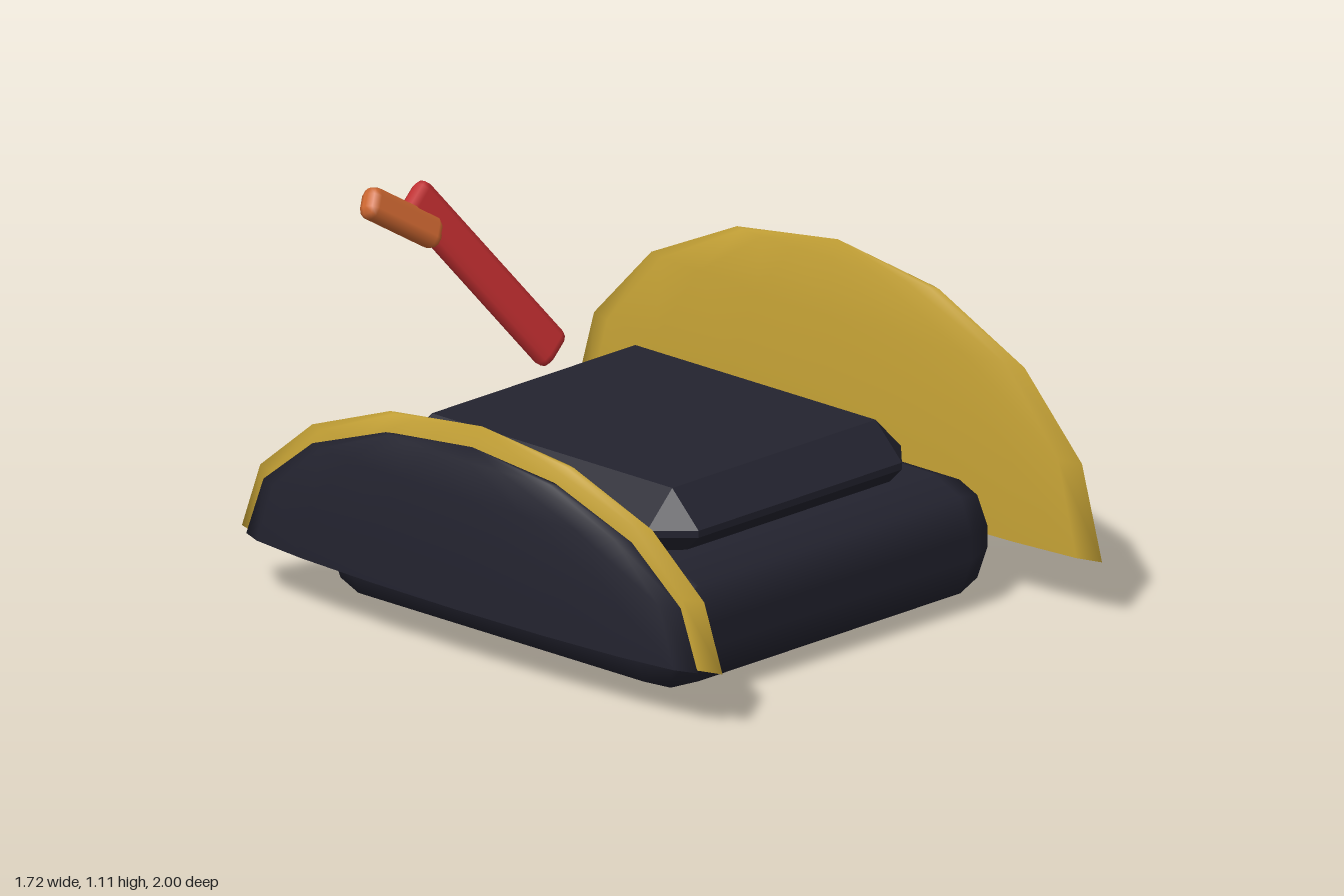
import * as THREE from 'three';
import { RoundedBoxGeometry } from 'three/addons/geometries/RoundedBoxGeometry.js';
import { ConvexGeometry } from 'three/addons/geometries/ConvexGeometry.js';

const colour = (name, color, side = THREE.FrontSide) => {
  const m = new THREE.MeshStandardMaterial({ color, side });
  m.name = name;
  return m;
};

function add(parent, name, geometry, material, x, y, z) {
  const mesh = new THREE.Mesh(geometry, material);
  mesh.name = name;
  mesh.position.set(x, y, z);
  parent.add(mesh);
  return mesh;
}

// Box with every edge and corner cut by one flat bevel
function chamferedBox(w, h, d, c) {
  const points = [];
  for (const sx of [-1, 1]) for (const sy of [-1, 1]) for (const sz of [-1, 1]) {
    for (let axis = 0; axis < 3; axis++) {
      const inset = [c, c, c];
      inset[axis] = 0;
      points.push(new THREE.Vector3(
        sx * (w / 2 - inset[0]), sy * (h / 2 - inset[1]), sz * (d / 2 - inset[2])));
    }
  }
  return new ConvexGeometry(points);
}

export function createModel() {
  const navy = colour('navy felt', 0x23232f, THREE.DoubleSide);
  const gold = colour('gold trim', 0xc4a135, THREE.DoubleSide);
  const red = colour('red feather', 0xc02e30);
  const orange = colour('orange feather', 0xcd6731);
  const bone = colour('bone', 0xcdc7bb);
  const black = colour('eye black', 0x1c1e29);

  const hat = new THREE.Group();
  hat.name = 'hat';

  // Crown: rounded base with a bevelled pad on top
  add(hat, 'crownBase', new RoundedBoxGeometry(1.33, 0.365, 1.38, 1, 0.15), navy, -0.055, 0.1825, 0);
  add(hat, 'crownTop', chamferedBox(1.0, 0.22, 1.11, 0.1), navy, -0.07, 0.42, -0.005);

  // Upturned brims: open half domes, gold inside and navy outside
  const dome = new THREE.SphereGeometry(1, 16, 4, 0, Math.PI * 2, 0, Math.PI / 2);
  const brims = [
    ['leftBrimTrim', gold, 0.65, 0.06, 0.695, 1.0],
    ['leftBrim', navy, 0.695, 0.075, 0.64, 0.94],
    ['rightBrimTrim', gold, -0.75, 0.06, 0.5, 0.91],
    ['rightBrim', navy, -0.79, 0.07, 0.45, 0.855],
  ];
  for (const [name, material, x, rx, ry, rz] of brims) {
    add(hat, name, dome, material, x, 0.17, 0).scale.set(rx, ry, rz);
  }

  // Skull and crossed bones on the left brim
  const emblem = new THREE.Group();
  emblem.name = 'skullAndBones';
  hat.add(emblem);
  add(emblem, 'skull', new THREE.SphereGeometry(1, 24, 16), bone, 0.775, 0.505, 0)
    .scale.set(0.065, 0.135, 0.135);
  add(emblem, 'jaw', new RoundedBoxGeometry(0.08, 0.07, 0.15, 2, 0.03), bone, 0.77, 0.37, 0);
  for (const side of [-1, 1]) {
    add(emblem, 'eye', new RoundedBoxGeometry(0.05, 0.062, 0.06, 2, 0.015), black, 0.83, 0.515, side * 0.053);
    add(emblem, 'crossbone', new RoundedBoxGeometry(0.05, 0.058, 0.44, 2, 0.024), bone, 0.765, 0.315, 0)
      .rotation.x = side * 0.5;
  }

  // Feather: two slats lying in one plane that leans back
  const slats = [
    ['featherStem', red, 0.127, 0.65, 0.06, 0.58, [-0.113, 0.81, -0.611]],
    ['featherTip', orange, 0.095, 0.275, 0.068, 0.97, [-0.35, 1.01, -0.69]],
  ];
  for (const [name, material, w, l, t, turn, p] of slats) {
    add(hat, name, new RoundedBoxGeometry(w, l, t, 1, 0.029), material, ...p)
      .rotation.set(-0.39, 0, turn);
  }

  return hat;
}
